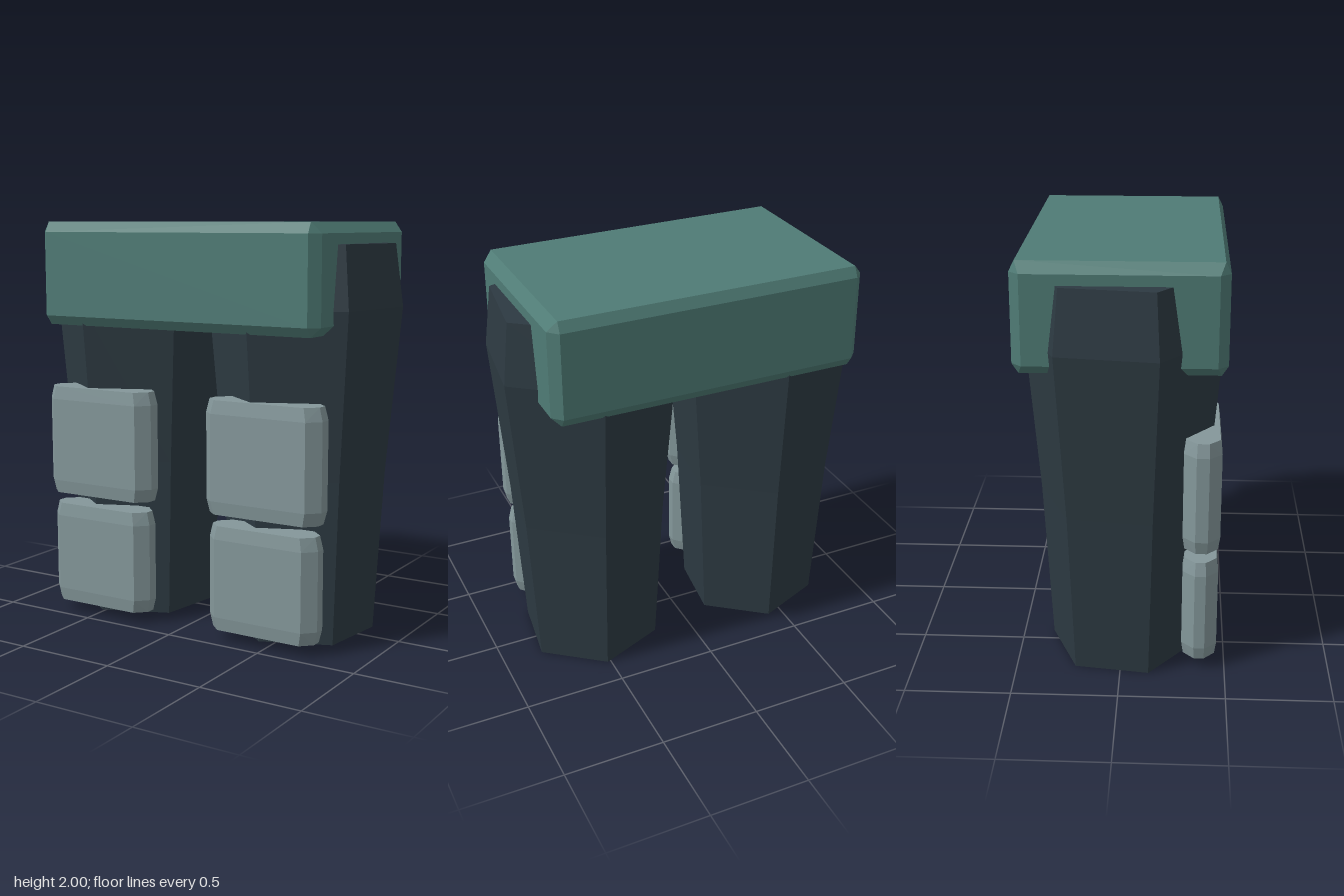
import * as THREE from 'three';
import { ConvexGeometry } from 'three/addons/geometries/ConvexGeometry.js';

const SIGNS = [-1, 1];

// Chamfered block: octagonal sections stacked from bottom to top; each is [y, halfX, halfZ, cutX, cutZ]
function chamferedBlock(sections) {
  const points = [];
  for (const [y, hx, hz, cx, cz] of sections)
    for (const sx of SIGNS)
      for (const sz of SIGNS) {
        points.push(new THREE.Vector3(sx * (hx - cx), y, sz * hz));
        if (cx > 0) points.push(new THREE.Vector3(sx * hx, y, sz * (hz - cz)));
      }
  return new ConvexGeometry(points);
}

// Knee or shin pad whose rim tapers slightly at top and bottom
function padGeometry(height, halfX, halfZ, cut) {
  const h = height / 2, rim = 0.065, s = 0.945;
  const end = [halfX * s, halfZ * 0.9, cut * s, cut * 0.9];
  const mid = [halfX, halfZ, cut, cut];
  return chamferedBlock([[-h, ...end], [-h + rim, ...mid], [h - rim, ...mid], [h, ...end]]);
}

export function createModel() {
  const model = new THREE.Group();
  model.name = 'legsAndHips';
  const hipGreen = new THREE.MeshStandardMaterial({ color: 0x4f7b75 });
  const legSlate = new THREE.MeshStandardMaterial({ color: 0x2d3a42 });
  const padGrey = new THREE.MeshStandardMaterial({ color: 0x84979a });
  hipGreen.name = 'hipGreen';
  legSlate.name = 'legSlate';
  padGrey.name = 'padGrey';

  const add = (parent, name, geometry, material, x = 0, y = 0, z = 0) => {
    const mesh = new THREE.Mesh(geometry, material);
    mesh.name = name;
    mesh.position.set(x, y, z);
    parent.add(mesh);
    return mesh;
  };

  // Hip block with bevelled edges
  add(model, 'hips', chamferedBlock([
    [1.49, 0.735, 0.45, 0, 0],
    [1.535, 0.78, 0.48, 0.045, 0.047],
    [1.95, 0.78, 0.48, 0.045, 0.047],
    [2.0, 0.735, 0.455, 0, 0],
  ]), hipGreen);

  // Six-sided tapering leg, closed at both ends
  const profile = [[0, 0], [0.355, 0], [0.4, 0.8], [0.47, 1.6], [0.43, 1.9], [0, 1.9]]
    .map(([r, y]) => new THREE.Vector2(r, y));
  const legGeometry = new THREE.LatheGeometry(profile, 6).toNonIndexed();
  legGeometry.computeVertexNormals();

  const kneeGeometry = padGeometry(0.55, 0.31, 0.0875, 0.058);
  const shinGeometry = padGeometry(0.515, 0.293, 0.084, 0.058);

  for (const side of SIGNS) {
    const group = new THREE.Group();
    group.name = side > 0 ? 'leftLeg' : 'rightLeg';
    group.position.x = side * 0.471;
    model.add(group);
    // Both legs are turned the same way
    add(group, 'leg', legGeometry, legSlate).rotation.y = -THREE.MathUtils.degToRad(7.5);
    add(group, 'kneePad', kneeGeometry, padGrey, 0, 0.9, 0.377);
    add(group, 'shinPad', shinGeometry, padGrey, 0, 0.3125, 0.376);
  }
  return model;
}
